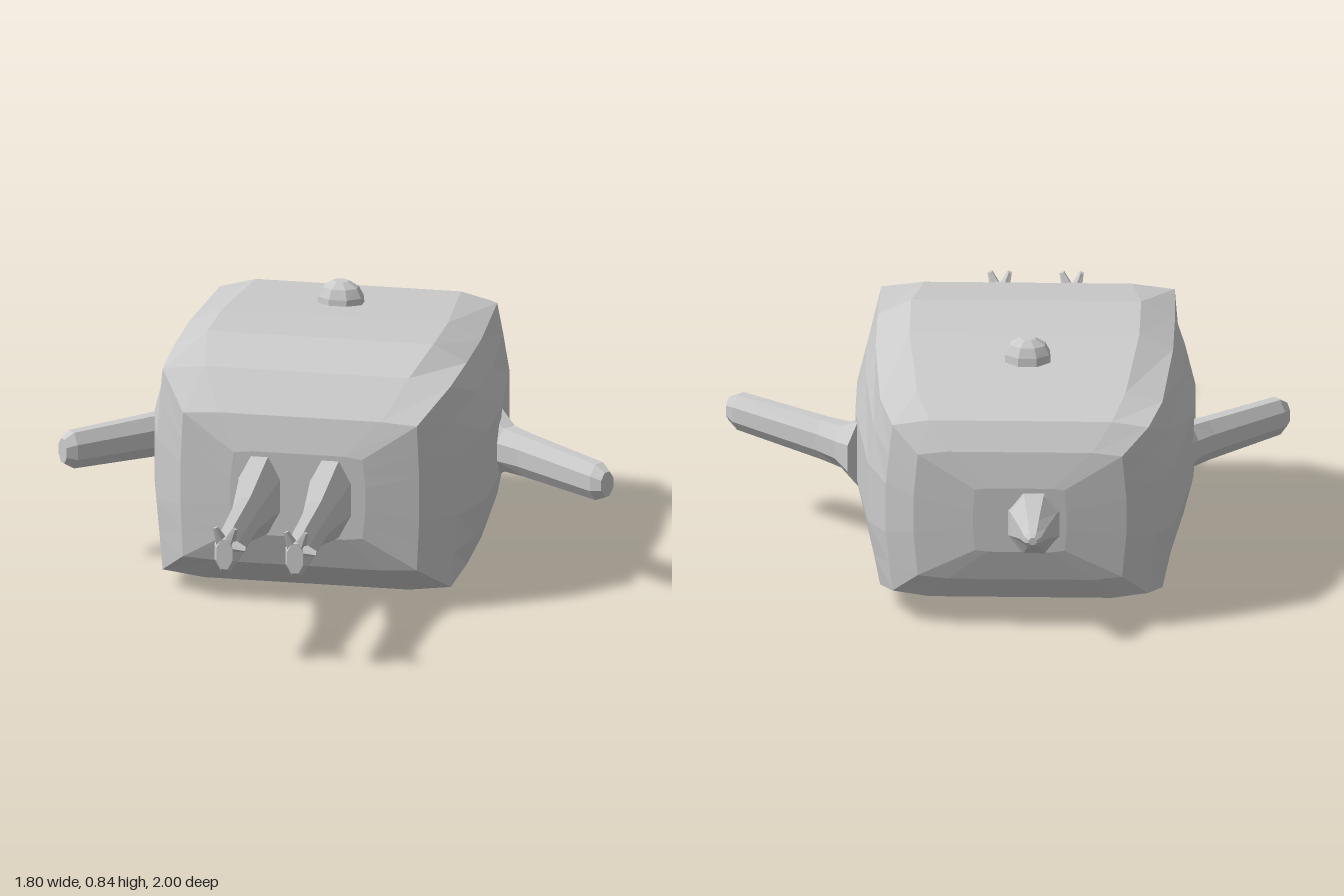
import * as THREE from 'three';

const material = new THREE.MeshStandardMaterial({ color: 0xcccccc, flatShading: true });

// Skin a list of equal rings (counterclockwise seen from the far end), closing both ends
function loft(name, rings) {
  const n = rings[0].length, pos = [];
  const tri = (...ps) => ps.forEach((p) => pos.push(p.x, p.y, p.z));
  for (let k = 0; k < rings.length - 1; k++) {
    const a = rings[k], b = rings[k + 1];
    for (let i = 0; i < n; i++) {
      const j = (i + 1) % n;
      tri(a[i], a[j], b[j]);
      tri(a[i], b[j], b[i]);
    }
  }
  const centre = (r) => r.reduce((s, p) => s.add(p), new THREE.Vector3()).divideScalar(n);
  const first = rings[0], last = rings[rings.length - 1];
  const c0 = centre(first), c1 = centre(last);
  for (let i = 0; i < n; i++) {
    const j = (i + 1) % n;
    tri(c0, first[j], first[i]);
    tri(c1, last[i], last[j]);
  }
  const geo = new THREE.BufferGeometry();
  geo.setAttribute('position', new THREE.Float32BufferAttribute(pos, 3));
  geo.computeVertexNormals();
  const mesh = new THREE.Mesh(geo, material);
  mesh.name = name;
  return mesh;
}

// Faceted limb: stations are [x, y, z, half width, half height]
function limb(name, stations, sides = 8, up = new THREE.Vector3(0, 1, 0)) {
  const p = stations.map((s) => new THREE.Vector3(s[0], s[1], s[2]));
  const dir = p[p.length - 1].clone().sub(p[0]).normalize();
  const side = up.clone().cross(dir).normalize();
  const grow = 1 / Math.cos(Math.PI / sides);
  return loft(name, stations.map((s, k) => Array.from({ length: sides }, (_, i) => {
    const a = ((i + 0.5) / sides) * Math.PI * 2;
    return p[k].clone()
      .addScaledVector(side, Math.cos(a) * s[3] * grow)
      .addScaledVector(up, Math.sin(a) * s[4] * grow);
  })));
}

// Pillow-like box section with a crisp corner at (cx, cy)
function bodyRing([z, hx, hy, cx, cy, y]) {
  const q = [[1, 0], [1, 0.28], [0.5 + cx / 2, 0.62], [cx, cy], [0.68, 1], [0.3, 1]];
  const mirrored = q.slice(1).reverse().map(([x, v]) => [-x, v]);
  const half = [...q, ...mirrored];
  const full = [...half, ...half.map(([x, v]) => [-x, -v])];
  return full.map(([x, v]) => new THREE.Vector3(-0.06 + x * hx, y + v * hy, z));
}

export function createModel() {
  const model = new THREE.Group();

  // Body, from back to front
  model.add(loft('body', [
    [-0.855, 0.15, 0.11, 0.95, 0.95, 0.39],
    [-0.83, 0.34, 0.22, 0.96, 0.95, 0.395],
    [-0.775, 0.43, 0.305, 0.95, 0.94, 0.395],
    [-0.65, 0.49, 0.353, 0.92, 0.91, 0.397],
    [-0.25, 0.54, 0.383, 0.88, 0.87, 0.397],
    [0, 0.54, 0.395, 0.88, 0.86, 0.395],
    [0.235, 0.488, 0.356, 0.96, 0.95, 0.395],
    [0.352, 0.388, 0.25, 0.98, 0.97, 0.388],
    [0.385, 0.22, 0.14, 0.95, 0.95, 0.385],
  ].map(bodyRing)));

  // Legs with three small toes each
  [['rightLeg', -0.185], ['leftLeg', 0.045]].forEach(([name, x]) => {
    const leg = new THREE.Group();
    leg.name = name;
    leg.add(limb('shin', [
      [x, 0.38, 0.34, 0.075, 0.135], [x, 0.38, 0.405, 0.064, 0.125],
      [x, 0.38, 0.63, 0.042, 0.075], [x, 0.378, 0.96, 0.036, 0.067],
      [x, 0.378, 0.985, 0.026, 0.05],
    ]));
    [[-0.028, 0.468], [0.035, 0.468], [0.07, 0.4]].forEach(([dx, y]) => {
      const base = [x + dx * 0.25, 0.405, 0.965];
      const tip = new THREE.Vector3(x + dx, y, 0.988);
      const toeUp = new THREE.Vector3(0, 0, 1);
      const toe = limb('toe', [[...base, 0.02, 0.014], [...tip.toArray(), 0.007, 0.007]], 5, toeUp);
      leg.add(toe);
    });
    model.add(leg);
  });

  // Arms reaching outward and forward, flared where they leave the body
  [['leftArm', 1, 0.45, -0.27], ['rightArm', -1, 0.53, -0.235]].forEach(([name, s, x0, z0]) => {
    const x1 = 0.885, z1 = 0.068;
    const at = (t, w, h) => [s * (x0 + (x1 - x0) * t), 0.378, z0 + (z1 - z0) * t, w, h];
    model.add(limb(name, [
      at(0, 0.085, 0.11), at(0.14, 0.056, 0.072), at(0.3, 0.045, 0.068),
      at(0.93, 0.04, 0.06), at(1, 0.026, 0.04),
    ]));
  });

  // Pointed bump at the back
  model.add(limb('tail', [
    [-0.105, 0.38, -0.82, 0.12, 0.13], [-0.105, 0.38, -0.862, 0.075, 0.098],
    [-0.105, 0.38, -0.94, 0.042, 0.045], [-0.105, 0.378, -0.985, 0.027, 0.024],
    [-0.105, 0.378, -1, 0.013, 0.012],
  ]));

  // Knob on top
  model.add(limb('knob', [
    [-0.075, 0.74, -0.425, 0.075, 0.058], [-0.075, 0.79, -0.425, 0.07, 0.053],
    [-0.075, 0.82, -0.425, 0.055, 0.04], [-0.075, 0.84, -0.425, 0.025, 0.018],
  ], 8, new THREE.Vector3(0, 0, -1)));

  return model;
}
